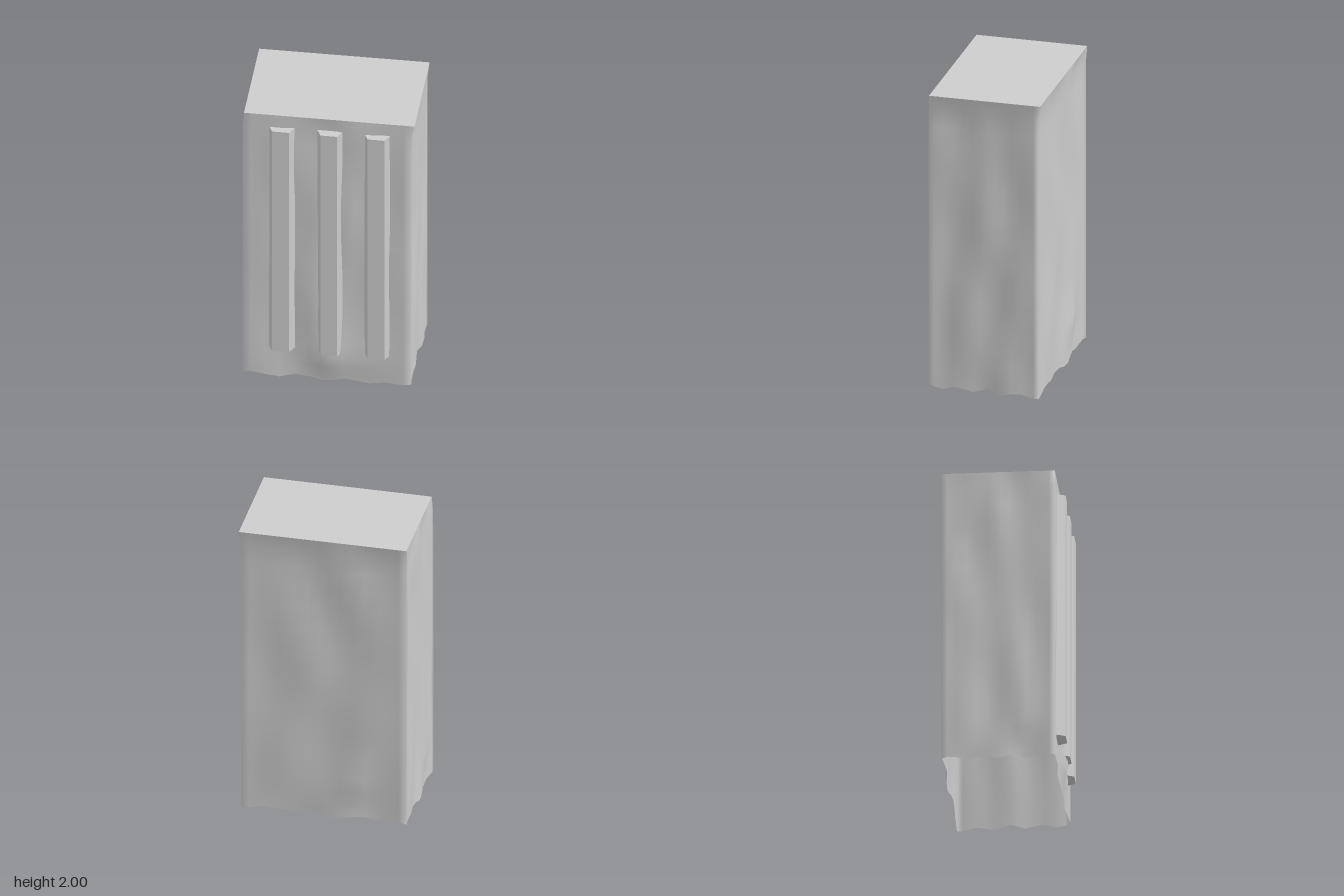
import * as THREE from 'three';

const wallGrey = new THREE.MeshStandardMaterial({ color: 0xcccccc, side: THREE.DoubleSide });
wallGrey.name = 'pale grey';

// corners seen from above, anticlockwise from the front right: [x, z] at the rim and below it
const rim = [[-0.53, 0.345], [0.562, 0.342], [0.55, -0.387], [-0.54, -0.382]];
const foot = [[-0.54, 0.345], [0.54, 0.35], [0.54, -0.373], [-0.54, -0.373]];
const outward = [[0, 1], [1, 0], [0, -1], [-1, 0]];

const columns = [0, 0.05, 0.13, 0.22, 0.31, 0.4, 0.47, 0.53, 0.6, 0.67, 0.75, 0.84, 0.95];
const rows = [0.015, 0.06, 0.12, 0.2, 0.3, 0.45, 0.6, 0.75, 0.9, 1.05, 1.2, 1.35, 1.5, 1.65, 1.78, 1.9, 2];

const bump = (u, y, u0, y0, ru, ry) => Math.exp(-(((u - u0) / ru) ** 2) - ((y - y0) / ry) ** 2);

// how far the crumpled sheet stands out from a flat wall
function crumple(side, u, y) {
  if (y >= 2) return 0;
  const edge = Math.min(1, Math.sin(Math.PI * u) * 2.2);
  let d = 0.008 * Math.sin(14 * u + 1.6 * Math.sin(2.7 * y + side) + side * 2.1)
        + 0.005 * Math.sin(7 * y + 9 * u + side * 1.3) - 0.008;
  if (side === 0) {
    d += 0.035 * bump(u, y, 0.52, 0.2, 0.1, 0.12) + 0.02 * bump(u, y, 0.73, 0.2, 0.08, 0.12);
    d += 0.022 * bump(u, y, 0.41, 1.0, 0.05, 0.8) + 0.012 * bump(u, y, 0.62, 1.1, 0.05, 0.6);
  }
  if (side === 1) d -= 0.012 * bump(u, y, 0.14, 0.95, 0.08, 0.4);
  if (side === 2) d += 0.03 * bump(u, y, 0.7, 0.27, 0.08, 0.1);
  if (side === 3) d += 0.022 * bump(u, y, 0.22, 1.75, 0.08, 0.15) + 0.02 * bump(u, y, 0.75, 0.28, 0.08, 0.12);
  return d * edge;
}

// four crumpled walls, open at the bottom
function makeWalls() {
  const pos = [], index = [], n = columns.length * 4;
  rows.forEach((y, j) => {
    const t = THREE.MathUtils.smoothstep(y, 1.88, 2);
    const corner = foot.map((f, k) => f.map((v, a) => v + (rim[k][a] - v) * t));
    for (let s = 0; s < 4; s++) {
      const a = corner[s], b = corner[(s + 1) % 4];
      for (const u of columns) {
        const d = crumple(s, u, y);
        const hem = j === 0 ? 0.014 * Math.sin(23 * u + s * 2) : 0;
        pos.push(a[0] + (b[0] - a[0]) * u + outward[s][0] * d, y + hem,
          a[1] + (b[1] - a[1]) * u + outward[s][1] * d);
      }
    }
    if (j === 0) return;
    for (let i = 0; i < n; i++) {
      const k = (i + 1) % n, lo = (j - 1) * n, hi = j * n;
      index.push(lo + i, lo + k, hi + k, lo + i, hi + k, hi + i);
    }
  });
  const g = new THREE.BufferGeometry();
  g.setAttribute('position', new THREE.Float32BufferAttribute(pos, 3));
  g.setIndex(index);
  g.computeVertexNormals();
  return g;
}

// flat lid joining the rim corners
function makeLid() {
  const g = new THREE.BufferGeometry();
  g.setAttribute('position', new THREE.Float32BufferAttribute(rim.flatMap(([x, z]) => [x, 2, z]), 3));
  g.setIndex([0, 1, 2, 0, 2, 3]);
  g.computeVertexNormals();
  return g;
}

// upright bar with bevelled sides
function makeBar() {
  const section = new THREE.Shape([[-0.082, 0.06], [0.082, 0.06], [0.054, 0], [-0.054, 0]]
    .map(([x, y]) => new THREE.Vector2(x, y)));
  const g = new THREE.ExtrudeGeometry(section, { depth: 1.68, bevelEnabled: false });
  return g.rotateX(-Math.PI / 2);
}

export function createModel() {
  const model = new THREE.Group();
  const add = (name, geometry) => {
    const mesh = new THREE.Mesh(geometry, wallGrey);
    mesh.name = name;
    model.add(mesh);
    return mesh;
  };
  add('walls', makeWalls());
  add('lid', makeLid());
  const bar = makeBar();
  [['rightBar', -0.288], ['middleBar', 0.02], ['leftBar', 0.322]].forEach(([name, x]) => {
    add(name, bar).position.set(x, 0.23, 0.397);
  });
  return model;
}
